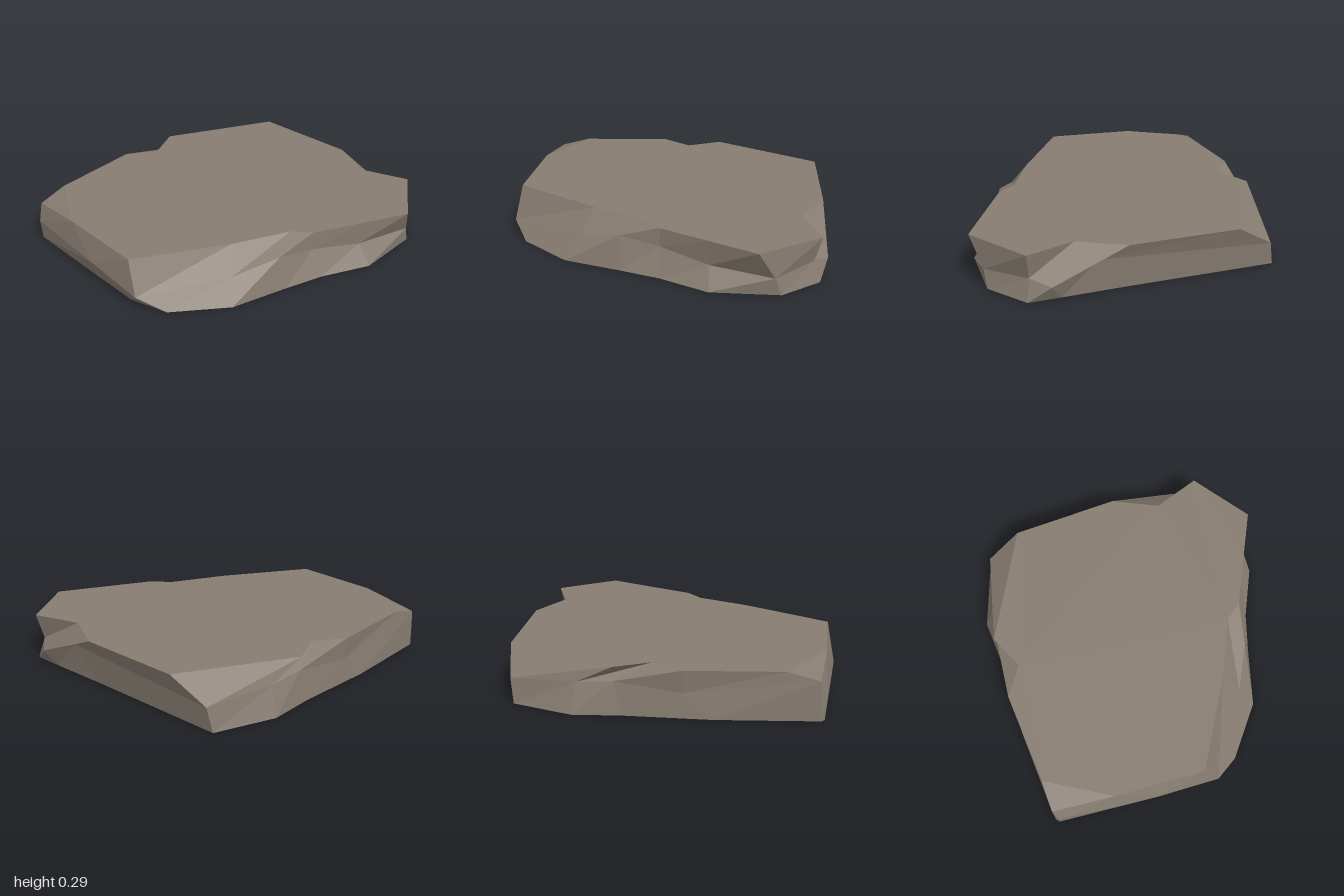
import * as THREE from 'three';

// Matching outlines of the slab, running counter-clockwise seen from above
const HEIGHT = 0.29;
const topRim = [ // x, z
  [-0.92, 0.68], [-0.53, 0.92], [-0.53, 0.92], [0.04, 0.96], [0.04, 0.96], [0.37, 0.43],
  [0.54, 0.08], [0.65, 0], [0.8, -0.29], [0.95, -0.58], [0.7, -0.95], [0.4, -0.85],
  [0.12, -0.99], [-0.56, -0.98], [-0.93, -0.3], [-0.83, -0.08], [-0.955, 0.1],
].map(([x, z]) => [x, HEIGHT, z]);

const waist = [ // x, y, z
  [-0.92, 0.24, 0.87], [-0.9, 0.13, 0.91], [-0.28, 0.13, 0.985], [0.13, 0.08, 1], [0.13, 0.08, 1],
  [0.46, 0.14, 0.52], [0.6, 0.21, 0.25], [0.65, 0.17, 0], [0.79, 0.13, -0.3], [0.89, 0.11, -0.68],
  [0.68, 0.13, -0.91], [0.57, 0.1, -1], [0.3, 0.21, -0.96], [-0.79, 0.15, -0.93],
  [-0.9, 0.18, -0.52], [-0.92, 0.2, -0.3], [-0.94, 0.15, 0.1],
];

const baseRim = [ // x, z
  [-0.92, 0.88], [-0.9, 0.9], [-0.3, 0.94], [0.04, 0.96], [0.29, 0.9], [0.54, 0.6],
  [0.65, 0.24], [0.73, 0], [0.88, -0.3], [0.88, -0.72], [0.7, -0.95], [0.5, -0.945],
  [0.12, -0.93], [-0.82, -0.91], [-0.955, -0.54], [-0.94, -0.25], [-0.955, 0.27],
].map(([x, z]) => [x, 0, z]);

// Flat-faced geometry from a list of triangles
function facets(triangles) {
  const geometry = new THREE.BufferGeometry();
  geometry.setAttribute('position', new THREE.Float32BufferAttribute(triangles.flat(2), 3));
  geometry.computeVertexNormals();
  return geometry;
}

// Band of facets joining two outlines
function band(lower, upper) {
  const triangles = [];
  const same = (p, q) => p.every((v, k) => v === q[k]);
  lower.forEach((a, i) => {
    const j = (i + 1) % lower.length;
    const b = lower[j], c = upper[j], d = upper[i];
    if (!same(a, b)) triangles.push([a, b, c]);
    if (!same(c, d)) triangles.push([a, c, d]);
  });
  return facets(triangles);
}

// Flat cap filling an outline
function cap(rim, facesUp) {
  const points = rim.filter((p, i) => i === 0 || p.some((v, k) => v !== rim[i - 1][k]));
  const contour = points.map(([x, , z]) => new THREE.Vector2(x, -z));
  const faces = THREE.ShapeUtils.triangulateShape(contour, []);
  return facets(faces.map(([a, b, c]) => (facesUp ? [a, b, c] : [a, c, b]).map((n) => points[n])));
}

export function createModel() {
  const stone = new THREE.MeshStandardMaterial({ color: 0x877c71, flatShading: true });
  stone.name = 'stone';
  const rock = new THREE.Group();
  rock.name = 'flatRock';
  const parts = {
    topFace: cap(topRim, true),
    upperSides: band(waist, topRim),
    lowerSides: band(baseRim, waist),
    underside: cap(baseRim, false),
  };
  for (const [name, geometry] of Object.entries(parts)) {
    const mesh = new THREE.Mesh(geometry, stone);
    mesh.name = name;
    rock.add(mesh);
  }
  return rock;
}
